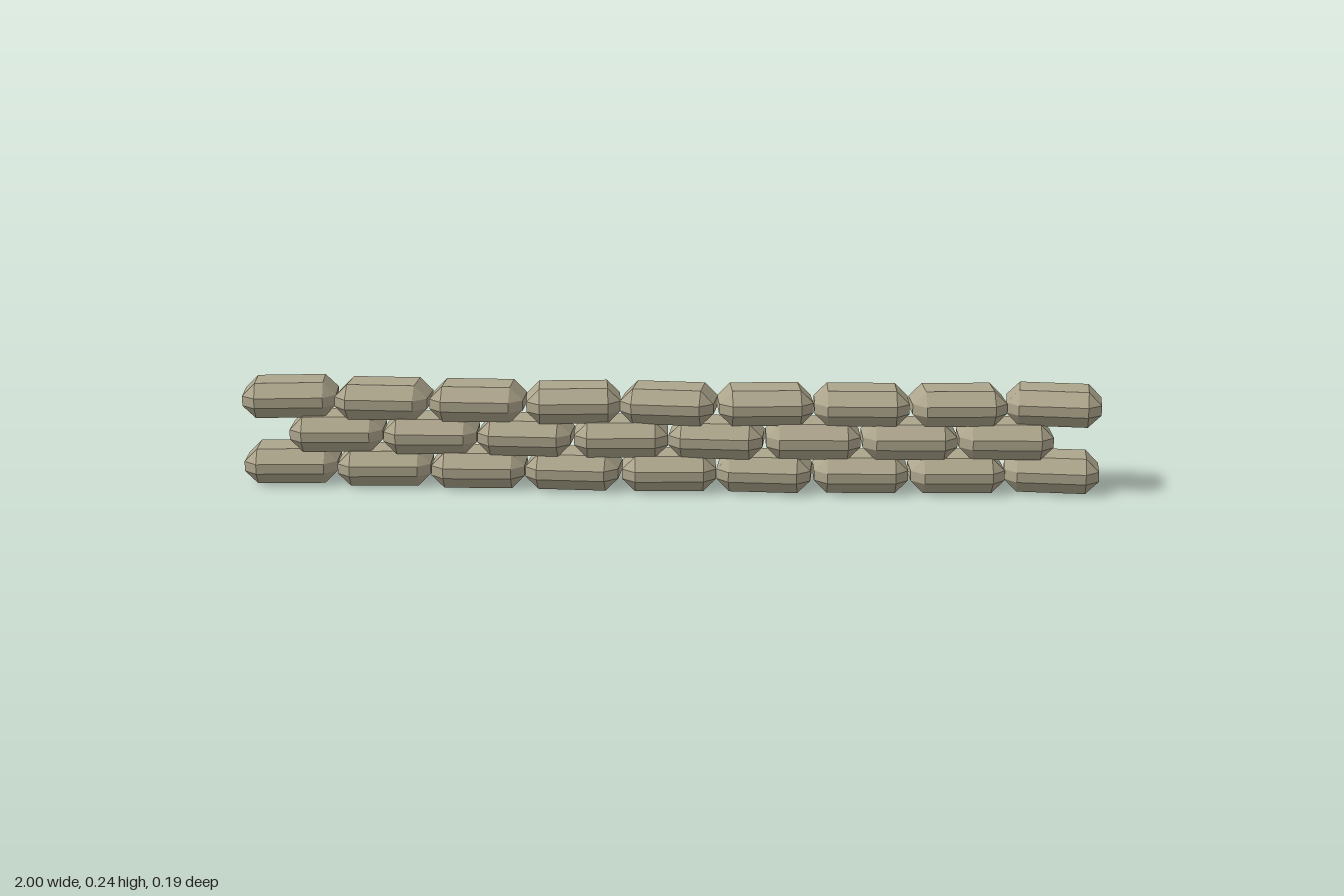
import * as THREE from 'three';
import { ConvexGeometry } from 'three/addons/geometries/ConvexGeometry.js';

const LENGTH = 0.217, HEIGHT = 0.083, DEPTH = 0.145, BEVEL = 0.03;
const PITCH = 0.2215, ROW_STEP = 0.079;

// Box with every edge and corner chamfered
function chamferedBox(w, h, d, b) {
  const points = [];
  for (const sx of [-1, 1]) for (const sy of [-1, 1]) for (const sz of [-1, 1]) {
    const x = w / 2, y = h / 2, z = d / 2;
    points.push(
      new THREE.Vector3(sx * x, sy * (y - b), sz * (z - b)),
      new THREE.Vector3(sx * (x - b), sy * y, sz * (z - b)),
      new THREE.Vector3(sx * (x - b), sy * (y - b), sz * z));
  }
  return new ConvexGeometry(points);
}

export function createModel() {
  const wall = new THREE.Group();
  wall.name = 'sandbagWall';
  const canvas = new THREE.MeshStandardMaterial({ color: 0xada58c, flatShading: true });
  canvas.name = 'sandbag canvas';
  const bag = chamferedBox(LENGTH, HEIGHT, DEPTH, BEVEL);

  // Turn of each bag in degrees, bottom row first
  const rows = [
    { name: 'bottomRow', turns: [4, 3, 1, -3, 3, -3, 2, 3, -5] },
    { name: 'middleRow', turns: [3, 2, -2, 3, -3, 2, 2, 1] },
    { name: 'topRow', turns: [6, -2, -1, 5, -5, 5, 1, 4, -6] },
  ];
  rows.forEach(({ name, turns }, r) => {
    const row = new THREE.Group();
    row.name = name;
    turns.forEach((turn, i) => {
      const mesh = new THREE.Mesh(bag, canvas);
      mesh.name = 'sandbag';
      const x = (i - (turns.length - 1) / 2) * PITCH;
      // The wall bows gently toward the front at its middle
      mesh.position.set(x, HEIGHT / 2 + r * ROW_STEP, 0.013 - 0.035 * x * x);
      mesh.rotation.y = THREE.MathUtils.degToRad(turn);
      row.add(mesh);
    });
    wall.add(row);
  });
  return wall;
}
